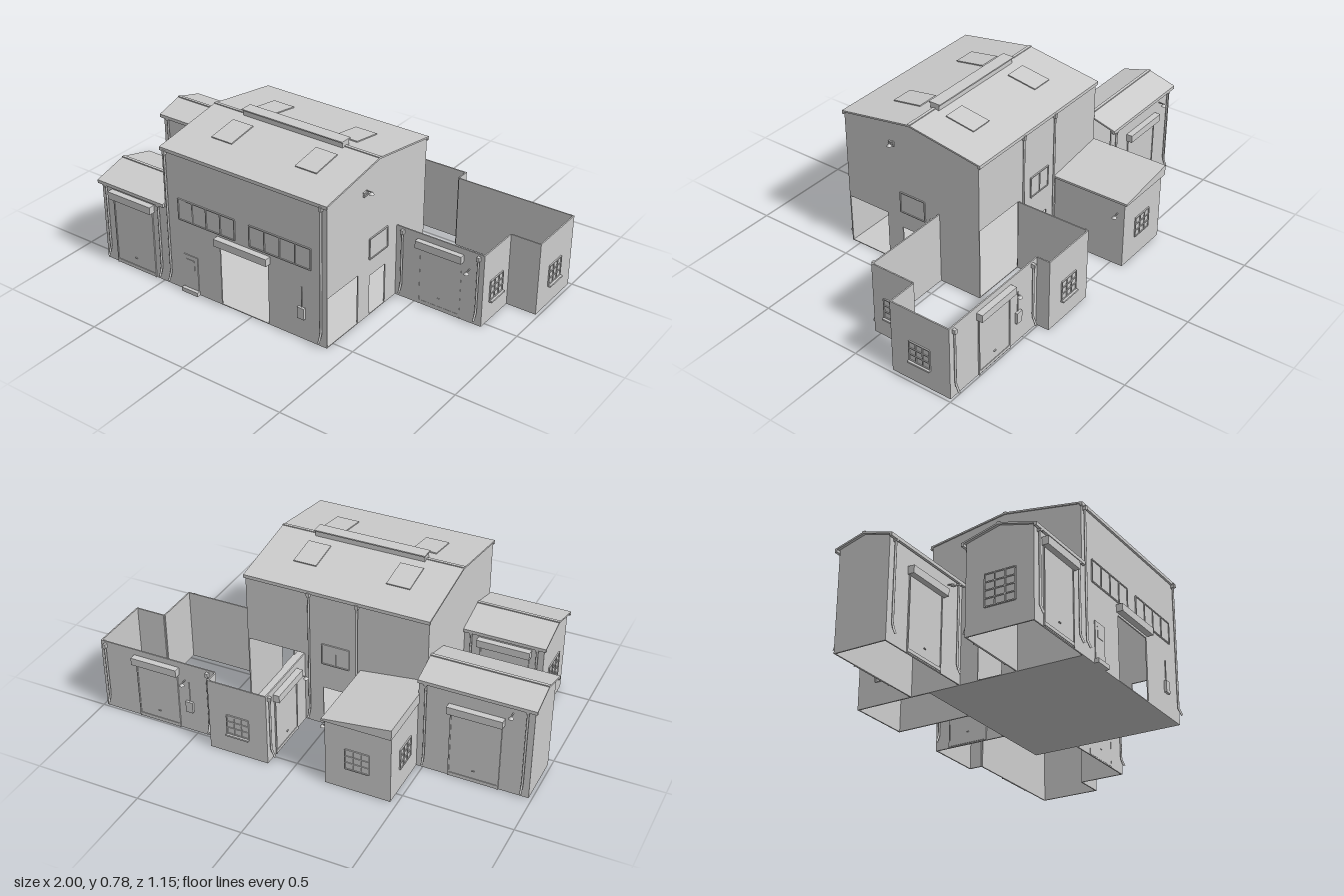
import * as THREE from 'three';

const grey = new THREE.MeshStandardMaterial({ color: 0xcccccc });
grey.name = 'concrete grey';

// Rotation for each facing; sign maps the world axis along the wall to local x
const FACING = {
  front: { rot: 0, sign: 1 }, back: { rot: Math.PI, sign: -1 },
  right: { rot: Math.PI / 2, sign: -1 }, left: { rot: -Math.PI / 2, sign: 1 },
};

export function createModel() {
  const root = new THREE.Group();
  root.name = 'workshop';

  function add(parent, name, geometry, x = 0, y = 0, z = 0) {
    const mesh = new THREE.Mesh(geometry, grey);
    mesh.name = name;
    mesh.position.set(x, y, z);
    parent.add(mesh);
    return mesh;
  }
  const box = (parent, name, w, h, d, x, y, z) =>
    add(parent, name, new THREE.BoxGeometry(w, h, d), x, y, z);

  // Group sitting on a wall: local z points outwards
  function on(dir, along, plane, name) {
    const g = new THREE.Group();
    g.name = name;
    g.rotation.y = FACING[dir].rot;
    if (dir === 'front' || dir === 'back') g.position.set(along, 0, plane);
    else g.position.set(plane, 0, along);
    root.add(g);
    return g;
  }

  // Thin wall from a to b with rectangular openings [a, b, y0, y1] and optional gable peak
  function wall(name, dir, a, b, plane, top, { holes = [], peak = 0, base = 0 } = {}) {
    const mid = (a + b) / 2, half = (b - a) / 2, T = 0.006;
    const s = new THREE.Shape();
    s.moveTo(-half, base); s.lineTo(half, base); s.lineTo(half, top);
    if (peak) s.lineTo(0, peak);
    s.lineTo(-half, top);
    for (const [h0, h1, y0, y1] of holes) {
      const c = FACING[dir].sign * ((h0 + h1) / 2 - mid), r = (h1 - h0) / 2;
      const p = new THREE.Path();
      p.moveTo(c - r, y0); p.lineTo(c - r, y1); p.lineTo(c + r, y1); p.lineTo(c + r, y0);
      s.holes.push(p);
    }
    const geo = new THREE.ExtrudeGeometry(s, { depth: T, bevelEnabled: false });
    add(on(dir, mid, plane, name), name, geo, 0, 0, -T);
  }

  // Pane with frame and glazing bars
  function window_(dir, a, b, y0, y1, plane, cols = 3, rows = 3) {
    const g = on(dir, (a + b) / 2, plane, 'window');
    const w = b - a, h = y1 - y0, t = 0.005;
    box(g, 'pane', w, h, 0.002, 0, (y0 + y1) / 2, 0.001);
    for (let i = 0; i <= cols; i++) box(g, 'upright bar', t, h, 0.006, -w / 2 + w * i / cols, (y0 + y1) / 2, 0.003);
    for (let j = 0; j <= rows; j++) box(g, 'cross bar', w, t, 0.006, 0, y0 + h * j / rows, 0.003);
  }

  // Roller door with its housing above
  function shutter(dir, along, plane, w = 0.23, top = 0.29, boxH = 0.036, panel = true) {
    const g = on(dir, along, plane, 'roller door');
    box(g, 'shutter housing', w, boxH, 0.03, 0, top + boxH / 2, 0.015);
    if (!panel) return;
    box(g, 'shutter', w - 0.03, top, 0.003, 0, top / 2, 0.0015);
    for (const s of [-1, 1]) box(g, 'shutter rail', 0.006, top, 0.006, s * (w / 2 - 0.012), top / 2, 0.003);
    box(g, 'shutter foot', w - 0.02, 0.015, 0.006, 0, 0.0125, 0.003);
    box(g, 'handle', 0.012, 0.004, 0.008, 0, 0.06, 0.004);
  }

  // Drainpipe with a hopper and kicked-out foot
  function pipe(dir, along, plane, top, foot = 0.03) {
    const g = on(dir, along, plane, 'drainpipe');
    const path = new THREE.CurvePath();
    const pts = [[top, 0.008], [foot + 0.04, 0.008], [foot, 0.025]].map(([y, z]) => new THREE.Vector3(0, y, z));
    path.add(new THREE.LineCurve3(pts[0], pts[1]));
    path.add(new THREE.LineCurve3(pts[1], pts[2]));
    add(g, 'pipe', new THREE.TubeGeometry(path, 16, 0.005, 8, false));
    box(g, 'hopper', 0.014, 0.02, 0.016, 0, top - 0.01, 0.008);
  }

  // Swan-neck lamp
  function lamp(dir, along, plane, y) {
    const g = on(dir, along, plane, 'wall lamp');
    box(g, 'lamp arm', 0.004, 0.004, 0.025, 0, y + 0.005, 0.0125);
    add(g, 'lamp shade', new THREE.CylinderGeometry(0.004, 0.012, 0.012, 12), 0, y, 0.027);
  }

  function fuseBox(dir, along, plane) {
    const g = on(dir, along, plane, 'fuse box');
    box(g, 'cabinet', 0.035, 0.055, 0.012, 0, 0.132, 0.006);
    box(g, 'conduit', 0.004, 0.1, 0.004, 0, 0.21, 0.002);
  }

  // Two-slope roof running along x, with ridge cap and gutters
  function gableRoof(name, x0, x1, z0, z1, eave, ridge) {
    const zr = (z0 + z1) / 2, t = 0.008;
    const s = new THREE.Shape();
    s.moveTo(z0, eave); s.lineTo(z0, eave - t); s.lineTo(zr, ridge - t);
    s.lineTo(z1, eave - t); s.lineTo(z1, eave); s.lineTo(zr, ridge);
    const geo = new THREE.ExtrudeGeometry(s, { depth: x1 - x0, bevelEnabled: false });
    add(root, name, geo, x1).rotation.y = -Math.PI / 2;
    box(root, 'ridge cap', x1 - x0, 0.006, 0.014, (x0 + x1) / 2, ridge, zr);
    for (const z of [z0 + 0.006, z1 - 0.006]) box(root, 'gutter', x1 - x0, 0.012, 0.012, (x0 + x1) / 2, eave - 0.01, z);
  }

  // Main hall
  const L = -0.47, R = 0.4, F = 0.545, B = -0.19;
  box(root, 'hall floor', R - L, 0.004, F - B, (L + R) / 2, 0.002, (F + B) / 2);
  wall('hall front wall', 'front', L, R, F, 0.685, { holes: [[-0.165, 0.095, 0.003, 0.3]] });
  wall('hall back wall', 'back', L, 0.115, B, 0.685, { holes: [[-0.095, 0.025, 0.003, 0.2]] });
  wall('hall back upper wall', 'back', 0.115, R, B, 0.685, { base: 0.355 });
  wall('hall right wall', 'right', B, F, R, 0.685, {
    peak: 0.745, holes: [[0.32, 0.54, 0.003, 0.245], [0.115, 0.235, 0.003, 0.2]],
  });
  wall('hall left wall', 'left', B, F, L, 0.685, { peak: 0.745, holes: [[0.05, 0.165, 0.003, 0.2]] });
  gableRoof('hall roof', -0.475, 0.405, -0.2, 0.57 - 0.015, 0.69, 0.75);
  box(root, 'roof ventilator', 0.53, 0.03, 0.045, -0.035, 0.758, 0.175);
  box(root, 'ventilator lid', 0.535, 0.006, 0.06, -0.035, 0.775, 0.175);
  for (const x of [-0.26, 0.185]) for (const s of [-1, 1]) {
    const light = box(root, 'skylight', 0.11, 0.006, 0.15, x, 0.729, 0.1775 + s * 0.145);
    light.rotation.x = s * Math.atan(0.06 / 0.3775);
  }
  window_('front', -0.39, -0.08, 0.36, 0.46, F, 4, 1);
  window_('front', 0, 0.32, 0.36, 0.46, F, 4, 1);
  window_('right', 0.105, 0.24, 0.285, 0.385, R, 1, 1);
  window_('back', -0.1, 0.03, 0.33, 0.43, B, 2, 1);
  shutter('front', -0.035, F, 0.285, 0.31, 0.035, false);
  const door = on('front', -0.335, F, 'side door');
  box(door, 'door leaf', 0.08, 0.19, 0.004, 0, 0.095, 0.002);
  box(door, 'door step', 0.09, 0.02, 0.02, 0, 0.01, 0.01);
  box(door, 'door window', 0.045, 0.05, 0.006, 0, 0.145, 0.003);
  fuseBox('front', 0.272, F);
  for (const x of [-0.45, 0.375]) pipe('front', x, F, 0.68);
  for (const x of [0.09, -0.14]) pipe('back', x, B, 0.68);
  const vent = on('right', 0.278, R, 'air vent');
  for (let i = 0; i < 3; i++) box(vent, 'vent slat', 0.03, 0.005, 0.008, 0, 0.615 + i * 0.008, 0.004);
  lamp('right', 0.27, R, 0.63);

  // Front and back workshops on the left side
  for (const [x0, z0, z1, eave, ridge] of [[-0.845, 0.235, F, 0.405, 0.45], [-0.985, -0.285, -0.035, 0.46, 0.5]]) {
    wall('workshop front wall', 'front', x0, L, z1, eave);
    wall('workshop back wall', 'back', x0, L, z0, eave);
    wall('workshop end wall', 'left', z0, z1, x0, eave, { peak: ridge });
    gableRoof('workshop roof', x0 - 0.012, L, z0 - 0.017, z1 + 0.017, eave + 0.004, ridge + 0.004);
    const mid = (x0 + L) / 2;
    for (const [dir, z] of [['front', z1], ['back', z0]]) {
      shutter(dir, mid - 0.005, z, 0.25, 0.34, 0.036);
      pipe(dir, x0 + 0.03, z, eave);
      pipe(dir, L - 0.035, z, eave);
    }
  }
  window_('left', 0.325, 0.465, 0.105, 0.245, -0.845, 3, 4);
  lamp('back', -0.89, -0.285, 0.41);
  lamp('front', -0.575, -0.035, 0.41);

  // Lean-to store behind the hall
  wall('store back wall', 'back', L, -0.165, -0.56, 0.345);
  wall('store right wall', 'right', -0.56, B, -0.165, 0.345);
  wall('store left wall', 'left', -0.56, B, L, 0.38);
  const lean = new THREE.Shape();
  lean.moveTo(-0.475, 0.335); lean.lineTo(-0.155, 0.335); lean.lineTo(-0.155, 0.345); lean.lineTo(-0.475, 0.385);
  add(root, 'store roof', new THREE.ExtrudeGeometry(lean, { depth: 0.385, bevelEnabled: false }), 0, 0, -0.575);
  window_('back', -0.37, -0.26, 0.11, 0.21, -0.56);
  window_('left', -0.47, -0.36, 0.11, 0.21, L);
  lamp('right', -0.525, -0.165, 0.27);

  // Open-topped yard rooms on the right side
  const H = 0.355;
  wall('yard front wall', 'front', R, 0.84, 0.03, H);
  wall('yard front room side', 'right', B, 0.03, 0.84, H);
  wall('yard step wall', 'front', 0.84, 0.985, B, H);
  wall('yard back room side', 'right', -0.49, B, 0.985, H);
  wall('yard back wall', 'back', R, 0.985, -0.49, H);
  wall('yard corner wall', 'right', -0.555, -0.49, R, H);
  wall('yard rear wall', 'back', 0.115, R, -0.555, H);
  wall('yard inner wall', 'left', -0.555, B, 0.115, H);
  window_('right', -0.135, -0.03, 0.105, 0.2, 0.84);
  window_('right', -0.39, -0.285, 0.105, 0.2, 0.985);
  window_('back', 0.205, 0.31, 0.105, 0.2, -0.555);
  for (const [dir, along, y, plane] of [['right', -0.0825, 0.1, 0.84], ['right', -0.3375, 0.1, 0.985], ['back', 0.2575, 0.1, -0.555]])
    box(on(dir, along, plane, 'window sill'), 'sill', 0.11, 0.008, 0.016, 0, y, 0.008);
  shutter('front', 0.625, 0.025);
  shutter('back', 0.697, -0.49);
  shutter('left', -0.38, 0.115, 0.22);
  for (const x of [0.435, 0.815]) pipe('front', x, 0.03, 0.345);
  for (const x of [0.435, 0.96]) pipe('back', x, -0.49, 0.345);
  pipe('left', -0.535, 0.115, 0.345);
  lamp('front', 0.77, 0.03, 0.26);
  lamp('back', 0.555, -0.49, 0.26);
  lamp('left', -0.235, 0.115, 0.26);
  fuseBox('back', 0.535, -0.49);

  return root;
}
